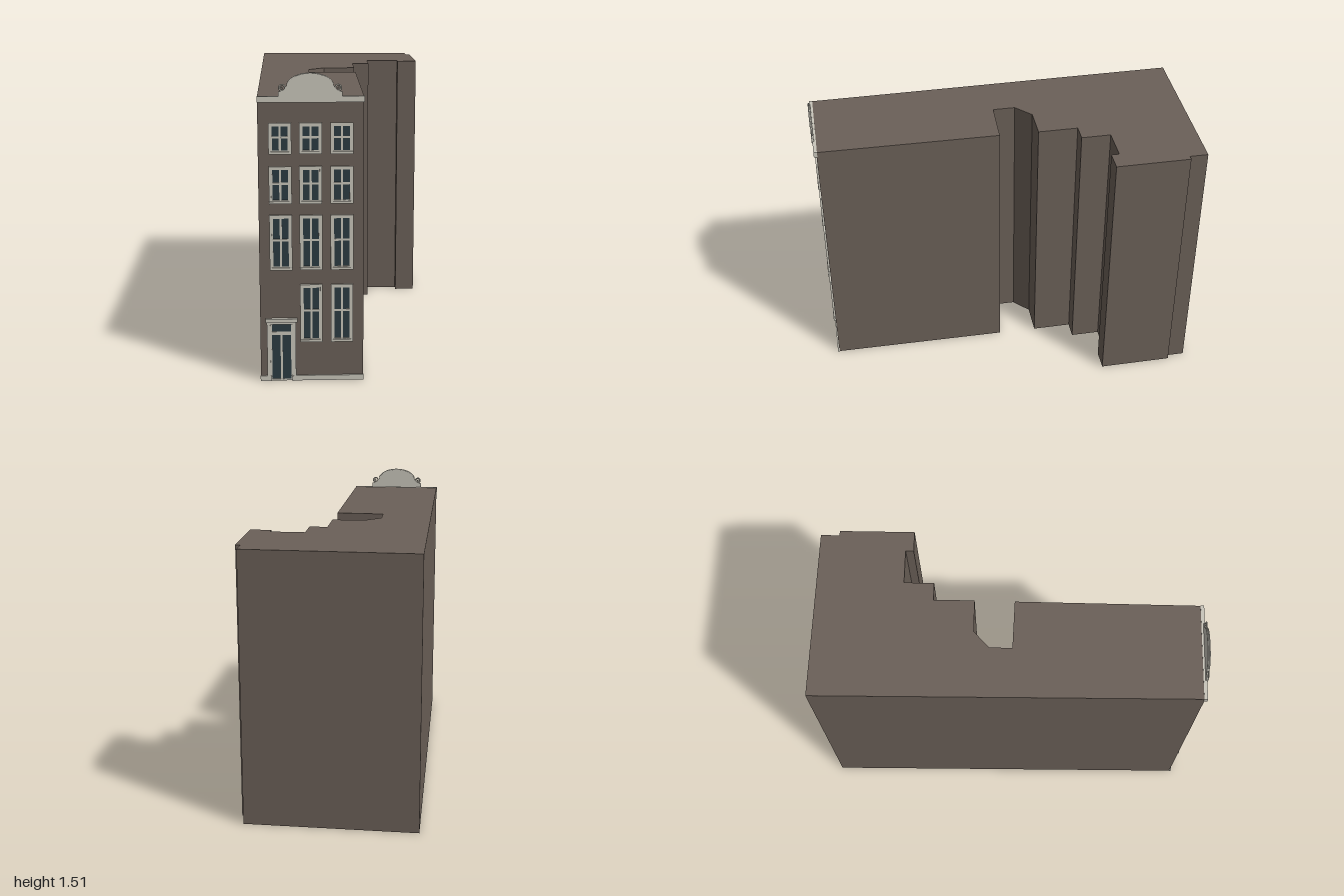
import * as THREE from 'three';

const mat = (name, color) => new THREE.MeshStandardMaterial({ name, color });

export function createModel() {
  const brick = mat('brown brick', 0x6b6058);
  const trim = mat('pale stone', 0xc9c6bb);
  const glass = mat('dark glass', 0x2c3b42);
  const house = new THREE.Group();
  house.name = 'canalHouse';
  const WALL = 0.98;

  const add = (parent, name, geo, material) => {
    const m = new THREE.Mesh(geo, material);
    m.name = name;
    parent.add(m);
    return m;
  };
  // Box given by its edges; the back is sunk slightly into the wall
  const slab = (parent, name, x0, x1, y0, y1, z1, material = trim, z0 = WALL - 0.004) => {
    const m = add(parent, name, new THREE.BoxGeometry(x1 - x0, y1 - y0, z1 - z0), material);
    m.position.set((x0 + x1) / 2, (y0 + y1) / 2, (z0 + z1) / 2);
    return m;
  };
  const rectPath = (P, x0, x1, y0, y1) => new P([[x0, y0], [x1, y0], [x1, y1], [x0, y1]]
    .map(([x, y]) => new THREE.Vector2(x, y)));
  // Rectangular ring standing on the facade
  const ring = (parent, name, x0, x1, y0, y1, t, z1) => {
    const s = rectPath(THREE.Shape, x0, x1, y0, y1);
    s.holes.push(rectPath(THREE.Path, x0 + t, x1 - t, y0 + t, y1 - t));
    const z0 = WALL - 0.004;
    const m = add(parent, name, new THREE.ExtrudeGeometry(s, { depth: z1 - z0, bevelEnabled: false }), trim);
    m.position.z = z0;
  };

  // Stepped footprint (x, z) extruded to the flat roof
  const plan = [[-0.455, -1], [0.425, -0.985], [0.425, -0.888], [0.45, -0.888], [0.45, -0.498],
    [0.342, -0.498], [0.342, -0.54], [0.163, -0.54], [0.163, -0.385], [0.07, -0.385],
    [0.07, -0.175], [-0.1, -0.175], [-0.185, -0.095], [-0.185, 0.022], [0.067, 0.03],
    [0.06, WALL], [-0.44, WALL]];
  const foot = new THREE.Shape(plan.map(([x, z]) => new THREE.Vector2(x, -z)));
  const body = add(house, 'walls', new THREE.ExtrudeGeometry(foot, { depth: 1.4, bevelEnabled: false }), brick);
  body.rotation.x = -Math.PI / 2;

  // Stone bands at the foot and top of the facade
  slab(house, 'plinth', -0.262, 0.062, 0, 0.025, 0.988);
  slab(house, 'plinthEnd', -0.442, -0.41, 0, 0.025, 0.988);
  slab(house, 'cornice', -0.442, 0.062, 1.373, 1.402, 0.994);

  // Windows: casing, sash, cross bars and glass
  const columns = [-0.336, -0.192, -0.044];
  const rows = [[1.128, 1.276, 1.207], [0.888, 1.068, 0.985], [0.562, 0.832, 0.709], [0.198, 0.488, 0.357]];
  rows.forEach(([y0, y1, bar], r) => columns.forEach((cx, c) => {
    if (r === 3 && c === 0) return;
    const g = new THREE.Group();
    g.name = 'window';
    house.add(g);
    const x0 = cx - 0.054, x1 = cx + 0.054;
    ring(g, 'casing', x0, x1, y0, y1, 0.011, 0.99);
    ring(g, 'sash', x0 + 0.011, x1 - 0.011, y0 + 0.011, y1 - 0.011, 0.006, 0.985);
    slab(g, 'pane', x0 + 0.012, x1 - 0.012, y0 + 0.012, y1 - 0.012, 0.9815, glass);
    slab(g, 'mullion', cx - 0.005, cx + 0.005, y0 + 0.017, y1 - 0.017, 0.985);
    slab(g, 'transom', x0 + 0.017, x1 - 0.017, bar - 0.005, bar + 0.005, 0.9845);
    slab(g, 'sill', x0, x1, y0, y0 + 0.012, 0.992);
  }));

  // Front door with surround and fanlight
  const door = new THREE.Group();
  door.name = 'frontDoor';
  house.add(door);
  const dx = -0.338;
  slab(door, 'doorGlass', dx - 0.055, dx + 0.055, 0, 0.302, 0.9815, glass);
  for (const s of [-1, 1]) {
    const bar = (name, a, b, y0, y1, z) =>
      slab(door, name, dx + Math.min(s * a, s * b), dx + Math.max(s * a, s * b), y0, y1, z);
    bar('pilaster', 0.054, 0.07, 0, 0.302, 0.99);
    bar('pilasterBase', 0.05, 0.075, 0, 0.026, 0.993);
    bar('doorStile', 0.046, 0.054, 0, 0.302, 0.985);
  }
  slab(door, 'lintel', dx - 0.071, dx + 0.071, 0.289, 0.306, 0.992);
  slab(door, 'lintelCap', dx - 0.077, dx + 0.077, 0.301, 0.318, 0.998);
  slab(door, 'doorTransom', dx - 0.047, dx + 0.047, 0.234, 0.251, 0.986);
  slab(door, 'doorMullion', dx - 0.005, dx + 0.005, 0.008, 0.234, 0.985);
  slab(door, 'threshold', dx - 0.047, dx + 0.047, 0, 0.008, 0.985);

  // Curved gable crest with a dome top and shoulders
  const gable = new THREE.Group();
  gable.name = 'gable';
  gable.position.x = -0.192;
  house.add(gable);
  const crest = new THREE.Shape();
  crest.moveTo(-0.15, 1.39);
  crest.lineTo(0.15, 1.39);
  crest.lineTo(0.15, 1.424);
  crest.quadraticCurveTo(0.12, 1.426, 0.108, 1.458);
  crest.bezierCurveTo(0.08, 1.526, -0.08, 1.526, -0.108, 1.458);
  crest.quadraticCurveTo(-0.12, 1.426, -0.15, 1.424);
  crest.closePath();
  const face = add(gable, 'crest', new THREE.ExtrudeGeometry(crest,
    { depth: 0.012, bevelEnabled: false, curveSegments: 16 }), trim);
  face.position.z = 0.986;

  // Raised moulding along the dome
  const arc = new THREE.CubicBezierCurve3(
    new THREE.Vector3(-0.108, 1.458, 0.995), new THREE.Vector3(-0.08, 1.526, 0.995),
    new THREE.Vector3(0.08, 1.526, 0.995), new THREE.Vector3(0.108, 1.458, 0.995));
  add(gable, 'crestMoulding', new THREE.TubeGeometry(arc, 20, 0.004, 6), trim);

  // Scrolls on the shoulders
  for (const s of [-1, 1]) {
    const scroll = add(gable, 'scroll', new THREE.TorusGeometry(0.014, 0.004, 6, 20), trim);
    scroll.position.set(s * 0.131, 1.442, 0.994);
    const eye = add(gable, 'scrollEye', new THREE.TorusGeometry(0.006, 0.0025, 6, 14), trim);
    eye.position.set(s * 0.135, 1.44, 0.994);
  }
  return house;
}
